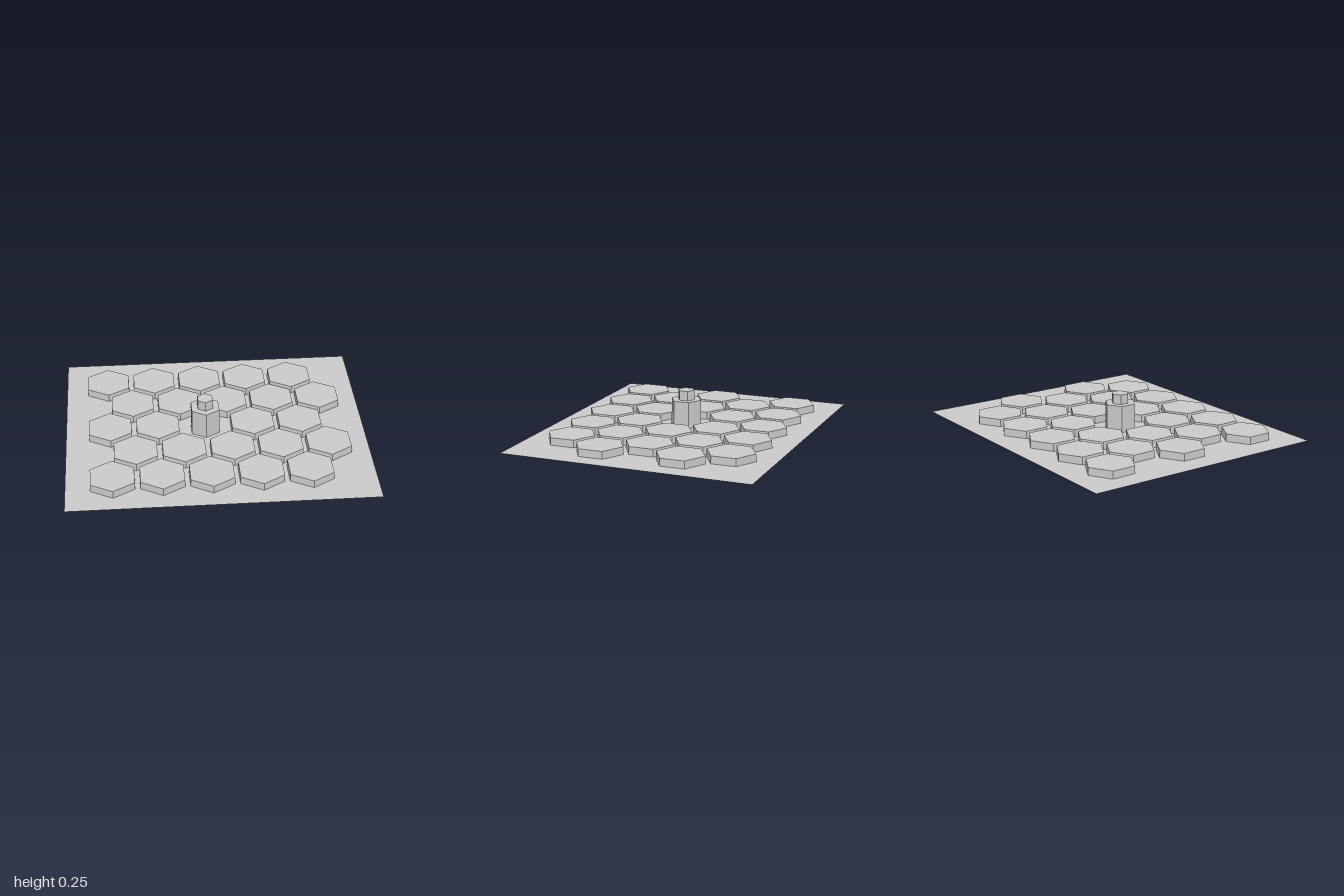
import * as THREE from 'three';

const TURN = 0.011;                 // slight twist of the whole tile grid
const CENTRE = [-0.0675, 0.006];    // x, z of the grid's middle cell
const PITCH_X = 0.3185, PITCH_Z = 0.274;
const TILE_R = 0.165, TILE_H = 0.05, TOWER_R = 0.107;
// Cells (row,column) whose underside has a ring instead of a coloured inlay
const RINGED = ['0,0', '1,0', '1,2', '3,3', '4,1', '4,3'];

const grey = new THREE.MeshStandardMaterial({ color: 0xcccccc, flatShading: true, side: THREE.DoubleSide });
const teal = new THREE.MeshStandardMaterial({ color: 0x08dcff, flatShading: true, side: THREE.DoubleSide });

function mesh(name, geometry, material = grey) {
  const m = new THREE.Mesh(geometry, material);
  m.name = name;
  return m;
}

// Hollow six-sided shell, open at the bottom, from [radius, height] points
function hexShell(profile) {
  return new THREE.LatheGeometry(profile.map(([r, y]) => new THREE.Vector2(r, y)), 6);
}

// Corners of a pointed hexagon in plan (x, -z)
function hexCorners(r, x = 0, z = 0, turn = 0) {
  return Array.from({ length: 6 }, (_, i) => {
    const a = Math.PI / 6 + i * Math.PI / 3 + turn;
    return new THREE.Vector2(x + r * Math.cos(a), -z + r * Math.sin(a));
  });
}

// Flat horizontal sheet with holes
function sheet(corners, holes = []) {
  const shape = new THREE.Shape(corners);
  shape.holes = holes.map((h) => new THREE.Path(h));
  return new THREE.ShapeGeometry(shape).rotateX(-Math.PI / 2);
}

export function createModel() {
  const model = new THREE.Group();
  model.name = 'hexTileBoard';
  const holes = [];

  const tileShell = hexShell([[TILE_R, 0], [TILE_R - 0.002, TILE_H], [0, TILE_H]]);
  const inlay = sheet(hexCorners(TILE_R - 0.003));
  const ring = sheet(hexCorners(TILE_R - 0.003), [hexCorners(0.1)]);
  const ringEdge = hexShell([[0.1, TILE_H - 0.008], [0.1, TILE_H - 0.001]]);

  for (let row = 0; row < 5; row++) {
    for (let col = 0; col < 5; col++) {
      const gx = (col - 2 + (row % 2) * 0.5) * PITCH_X;
      const gz = (row - 2) * PITCH_Z;
      const x = CENTRE[0] + gx * Math.cos(TURN) + gz * Math.sin(TURN);
      const z = CENTRE[1] - gx * Math.sin(TURN) + gz * Math.cos(TURN);
      const isTower = row === 2 && col === 2;
      const cell = new THREE.Group();
      cell.name = isTower ? 'tower' : 'tile';
      cell.position.set(x, 0, z);
      cell.rotation.y = TURN;

      if (isTower) {
        // Stepped hexagonal tower
        cell.add(mesh('towerShell', hexShell([
          [TOWER_R, 0], [TOWER_R - 0.001, 0.18], [0.058, 0.18], [0.057, 0.245], [0, 0.245],
        ])));
      } else {
        cell.add(mesh('tileShell', tileShell));
        if (RINGED.includes(`${row},${col}`)) {
          // Stepped underside
          const r = mesh('undersideRing', ring);
          r.position.y = TILE_H - 0.008;
          cell.add(r, mesh('ringEdge', ringEdge));
        } else {
          // Coloured underside
          const i = mesh('undersideInlay', inlay, teal);
          i.position.y = TILE_H - 0.004;
          cell.add(i);
        }
      }
      model.add(cell);
      holes.push(hexCorners(isTower ? TOWER_R : TILE_R, x, z, TURN));
    }
  }

  // Thin base sheet, open beneath every cell
  const corners = [[-1, -0.84], [1, -0.84], [1, 0.84], [-1, 0.84]].map(([x, y]) => new THREE.Vector2(x, y));
  model.add(mesh('baseSheet', sheet(corners, holes)));
  return model;
}
